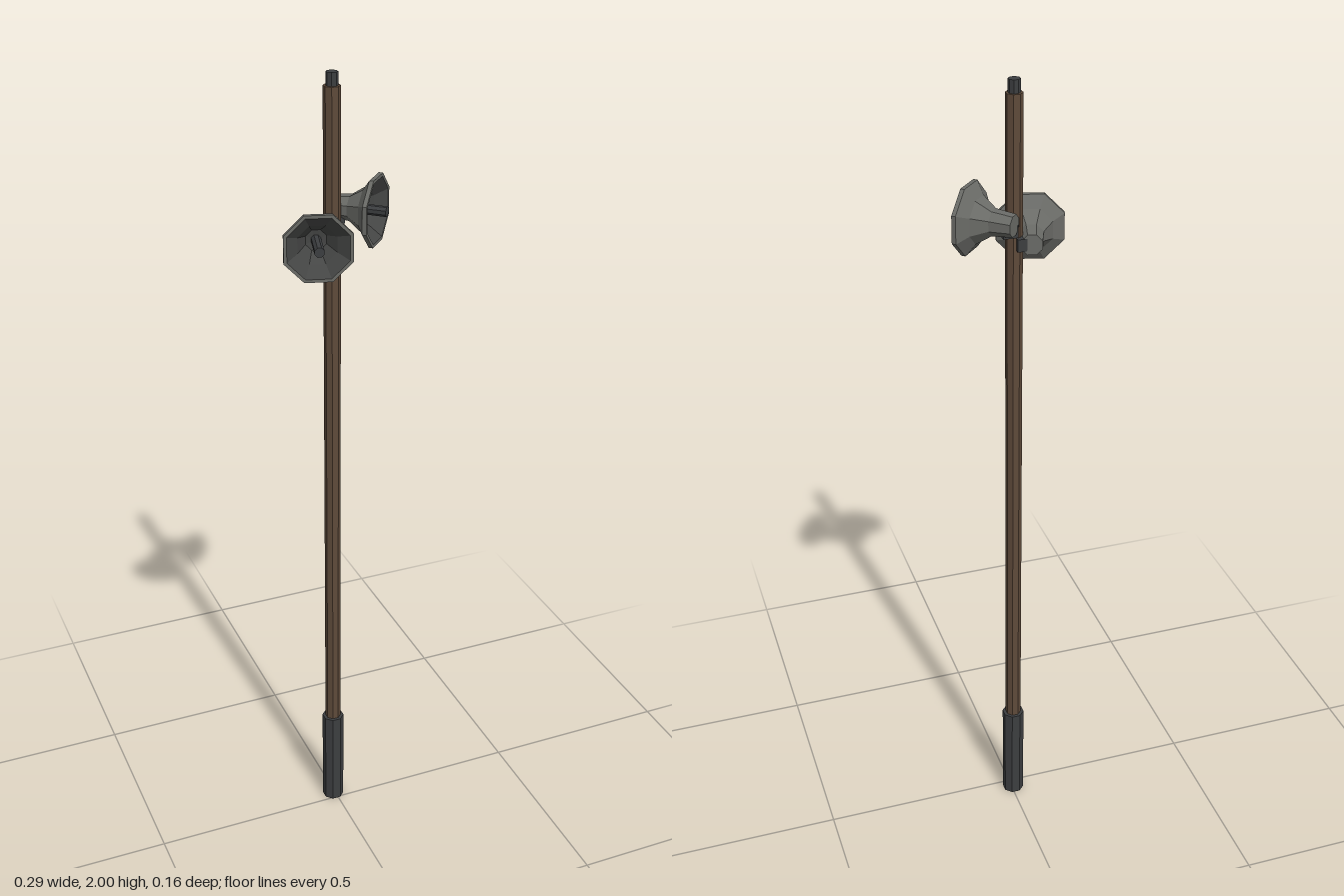
import * as THREE from 'three';

const mat = (name, color, side = THREE.FrontSide) => {
  const m = new THREE.MeshStandardMaterial({ color, side, flatShading: true });
  m.name = name;
  return m;
};

export function createModel() {
  const group = new THREE.Group();
  group.name = 'loudspeakerPole';
  const wood = mat('brown wood', 0x5e4a3a);
  const iron = mat('dark iron', 0x3c3e40);
  const hornGrey = mat('horn grey', 0x6a6b67);
  const hornDark = mat('horn inside', 0x454645);

  const add = (parent, name, geo, material, x = 0, y = 0, z = 0) => {
    const mesh = new THREE.Mesh(geo, material);
    mesh.name = name;
    mesh.position.set(x, y, z);
    parent.add(mesh);
    return mesh;
  };

  // Octagonal post: sleeve at the foot, wooden shaft, cap
  const px = -0.005, pz = -0.022;
  const post = (name, r, y0, y1, material) => {
    const geo = new THREE.CylinderGeometry(r, r, y1 - y0, 8).rotateY(Math.PI / 8);
    add(group, name, geo, material, px, (y0 + y1) / 2, pz);
  };
  post('footSleeve', 0.028, 0, 0.27, iron);
  post('shaft', 0.02, 0.27, 1.97, wood);
  post('topCap', 0.014, 1.97, 2, iron);

  // Eight-sided surface of revolution facing +z, flat side up
  const turned = (points) => new THREE.LatheGeometry(
    points.map(([r, f]) => new THREE.Vector2(r, f)), 8)
    .rotateY(Math.PI / 8).rotateX(Math.PI / 2);

  // Flared horn with its rim centre at the local origin
  const horn = (name, x, y, z, angle) => {
    const h = new THREE.Group();
    h.name = name;
    h.position.set(x, y, z);
    h.rotation.y = angle;
    add(h, 'hornShell', turned([[0, -0.113], [0.026, -0.113], [0.031, -0.063],
      [0.055, -0.028], [0.085, -0.008], [0.085, 0.002], [0.077, 0.002]]), hornGrey);
    add(h, 'hornInside', turned([[0.077, 0.002], [0.049, -0.024],
      [0.026, -0.058], [0, -0.062]]), hornDark);
    add(h, 'centrePlug', turned([[0.012, -0.062], [0.012, 0.024], [0, 0.024]]), iron);
    group.add(h);
  };
  horn('rightHorn', -0.068, 1.63, 0.053, -0.283);
  horn('leftHorn', 0.091, 1.685, 0.012, 0.826);

  // Clamps tying the horn throats to the shaft
  for (const [name, x, y, z] of [['rightClamp', -0.022, 1.63, -0.04], ['leftClamp', 0.012, 1.665, -0.04]]) {
    add(group, name, new THREE.BoxGeometry(0.035, 0.03, 0.025), iron, x, y, z);
  }
  return group;
}
